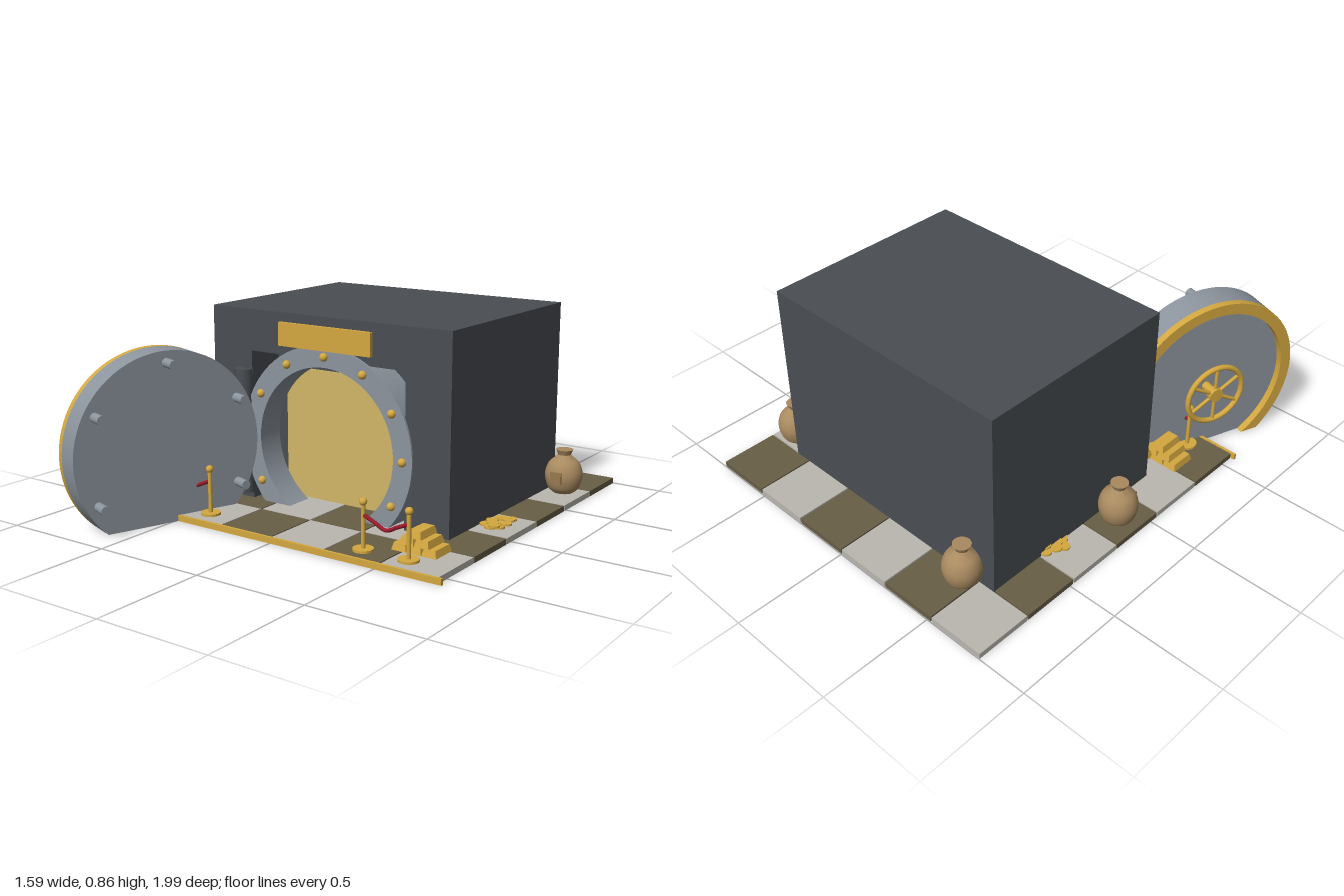
import * as THREE from 'three';
import { toCreasedNormals } from 'three/addons/utils/BufferGeometryUtils.js';

const mat = (name, color, extra = {}) => {
  const m = new THREE.MeshStandardMaterial({ color, ...extra });
  m.name = name;
  return m;
};

export function createModel() {
  const model = new THREE.Group();
  model.name = 'bankVault';
  const charcoal = mat('charcoal', 0x4a4e53);
  const steel = mat('steel', 0x8c949d);
  const gold = mat('gold', 0xd4a840);
  const glow = mat('paleGold', 0xd2b668);
  const lightTile = mat('lightTile', 0xbab7af);
  const darkTile = mat('darkTile', 0x685e46);
  const red = mat('ropeRed', 0x9c1a2c);
  const burlap = mat('burlap', 0xa98a60, { side: THREE.DoubleSide });
  const patchTan = mat('patchTan', 0x98794f);

  const add = (parent, name, geo, m, x = 0, y = 0, z = 0) => {
    const mesh = new THREE.Mesh(geo, m);
    mesh.name = name;
    mesh.position.set(x, y, z);
    parent.add(mesh);
    return mesh;
  };
  const group = (parent, name, x = 0, y = 0, z = 0) => {
    const g = new THREE.Group();
    g.name = name;
    g.position.set(x, y, z);
    parent.add(g);
    return g;
  };
  const box = (w, h, d) => new THREE.BoxGeometry(w, h, d);
  const cyl = (r, h, n = 20) => new THREE.CylinderGeometry(r, r, h, n);
  const extrude = (shape, depth) => toCreasedNormals(
    new THREE.ExtrudeGeometry(shape, { depth, bevelEnabled: false, curveSegments: 64 }), 0.5);

  // Disc or ring around the origin, cut off flat at y = cut
  const cutDisc = (outer, inner, cut) => {
    const s = new THREE.Shape();
    const a = Math.asin(cut / outer);
    s.absarc(0, 0, outer, a, Math.PI - a, false);
    if (inner) {
      const b = Math.asin(Math.max(-1, cut / inner));
      s.absarc(0, 0, inner, Math.PI - b, b, true);
    }
    return s;
  };

  // Checkered floor with a gold front edge
  const floor = group(model, 'floor');
  for (let i = 0; i < 6; i++) for (let j = 0; j < 6; j++) {
    add(floor, 'floorTile', box(0.254, 0.025, 0.254), (i + j) % 2 ? darkTile : lightTile,
      -0.65 + i * 0.26, 0.0125, -0.87 + j * 0.26);
  }
  add(floor, 'floorTrim', box(1.59, 0.026, 0.012), gold, 0, 0.013, 0.566);

  // Building: solid rear and a front wall with a doorway
  const building = group(model, 'building');
  add(building, 'buildingBody', box(1.2, 0.84, 0.75), charcoal, 0, 0.44, -0.365);
  const wall = new THREE.Shape();
  [[-0.6, 0.02], [-0.39, 0.02], [-0.39, 0.68], [0.39, 0.68], [0.39, 0.02], [0.6, 0.02], [0.6, 0.86], [-0.6, 0.86]]
    .forEach(([x, y], k) => (k ? wall.lineTo(x, y) : wall.moveTo(x, y)));
  add(building, 'frontWall', extrude(wall, 0.18), charcoal, 0, 0, 0.01);
  add(building, 'glowingInterior', box(0.62, 0.575, 0.01), glow, 0, 0.3125, 0.045);
  add(building, 'signPlate', box(0.465, 0.1, 0.025), gold, 0, 0.77, 0.195);
  add(building, 'hingePost', cyl(0.04, 0.55), charcoal, -0.43, 0.325, 0.195);

  // Round door frame with bolts
  const frame = group(model, 'doorFrame', 0, 0.31, 0);
  add(frame, 'frameRing', extrude(cutDisc(0.43, 0.34, -0.287), 0.13), steel, 0, 0, 0.07);
  for (let k = -1; k <= 7; k++) {
    const a = k * Math.PI / 6;
    add(frame, 'frameBolt', new THREE.SphereGeometry(0.018, 16, 12), gold,
      0.385 * Math.cos(a), 0.385 * Math.sin(a), 0.203);
  }

  // Open round door: local +z is its inner face
  const door = group(model, 'vaultDoor', -0.5, 0.31, 0.6);
  door.rotation.y = 70 * Math.PI / 180;
  add(door, 'doorBody', extrude(cutDisc(0.42, 0, -0.31), 0.115), steel, 0, 0, -0.115);
  add(door, 'doorRim', extrude(cutDisc(0.42, 0.37, -0.31), 0.03), gold, 0, 0, -0.145);
  for (let k = 0; k < 6; k++) {
    if (k === 4) continue;
    const a = Math.PI / 6 + k * Math.PI / 3;
    add(door, 'lockingPin', cyl(0.02, 0.08), steel, 0.37 * Math.cos(a), 0.37 * Math.sin(a), 0.03)
      .rotation.x = Math.PI / 2;
  }

  // Hand wheel on the outer face
  const wheel = group(door, 'handWheel', 0, 0, -0.185);
  add(wheel, 'wheelRim', new THREE.TorusGeometry(0.135, 0.012, 12, 40), gold);
  add(wheel, 'wheelHub', cyl(0.032, 0.03), gold).rotation.x = Math.PI / 2;
  add(wheel, 'wheelAxle', cyl(0.02, 0.075), gold, 0, 0, 0.036).rotation.x = Math.PI / 2;
  for (let k = 0; k < 3; k++) {
    add(wheel, 'wheelSpoke', cyl(0.008, 0.27, 10), gold).rotation.z = k * Math.PI / 3;
  }

  // Gold bar with sloping sides
  const bar = box(0.066, 0.03, 0.12);
  const p = bar.attributes.position;
  for (let i = 0; i < p.count; i++) {
    if (p.getY(i) > 0) p.setXYZ(i, p.getX(i) * 0.78, p.getY(i), p.getZ(i) * 0.86);
  }
  bar.computeVertexNormals();

  for (const s of [-1, 1]) {
    // Pyramid of gold bars
    const stack = group(model, 'goldBarStack', s * 0.573, 0.025, 0.35);
    for (let row = 0; row < 3; row++) for (let i = 0; i < 3 - row; i++) {
      add(stack, 'goldBar', bar, gold, (i - (2 - row) / 2) * 0.068, 0.015 + row * 0.031, 0);
    }
    // Rope barrier
    const barrier = group(model, 'ropeBarrier', s * 0.493, 0.025, 0.48);
    for (const x of [-0.104, 0.104]) {
      add(barrier, 'postBase', cyl(0.042, 0.01, 24), gold, x, 0.005, 0);
      add(barrier, 'post', cyl(0.009, 0.19, 12), gold, x, 0.1, 0);
      add(barrier, 'postBall', new THREE.SphereGeometry(0.016, 16, 12), gold, x, 0.197, 0);
    }
    const sag = new THREE.CatmullRomCurve3([[-0.104, 0.145], [-0.05, 0.122], [0, 0.1], [0.05, 0.122], [0.104, 0.145]]
      .map(([x, y]) => new THREE.Vector3(x, y, 0)));
    add(barrier, 'rope', new THREE.TubeGeometry(sag, 16, 0.008, 8), red);
  }

  // Scattered coins
  let seed = 7;
  const rand = () => (seed = (seed * 16807) % 2147483647) / 2147483647;
  for (const [cx, cz] of [[0.67, -0.09], [-0.585, -0.4]]) {
    const coins = group(model, 'coinPile', cx, 0.025, cz);
    for (let k = 0; k < 12; k++) {
      const a = k * 2.4, r = 0.075 * Math.sqrt((k + rand()) / 12);
      add(coins, 'coin', cyl(0.025, 0.008), gold, r * Math.cos(a) * 0.75, 0.004 + (k % 3) * 0.008, r * Math.sin(a));
    }
  }

  // Money sacks
  const profile = new THREE.SplineCurve([[0.045, 0], [0.07, 0.025], [0.083, 0.08], [0.07, 0.13],
    [0.04, 0.16], [0.028, 0.172]].map(([x, y]) => new THREE.Vector2(x, y))).getPoints(20);
  profile.unshift(new THREE.Vector2(0, 0));
  profile.push(new THREE.Vector2(0.038, 0.195), new THREE.Vector2(0, 0.195));
  const sackGeo = toCreasedNormals(new THREE.LatheGeometry(profile, 28), 0.6);
  for (const [x, z] of [[0.68, -0.67], [-0.47, -0.78], [-0.68, -0.1]]) {
    const sack = group(model, 'moneySack', x, 0.025, z);
    add(sack, 'sackBody', sackGeo, burlap);
    add(sack, 'sackPatch', box(0.052, 0.052, 0.009), patchTan, 0, 0.08, 0.081);
  }
  return model;
}
